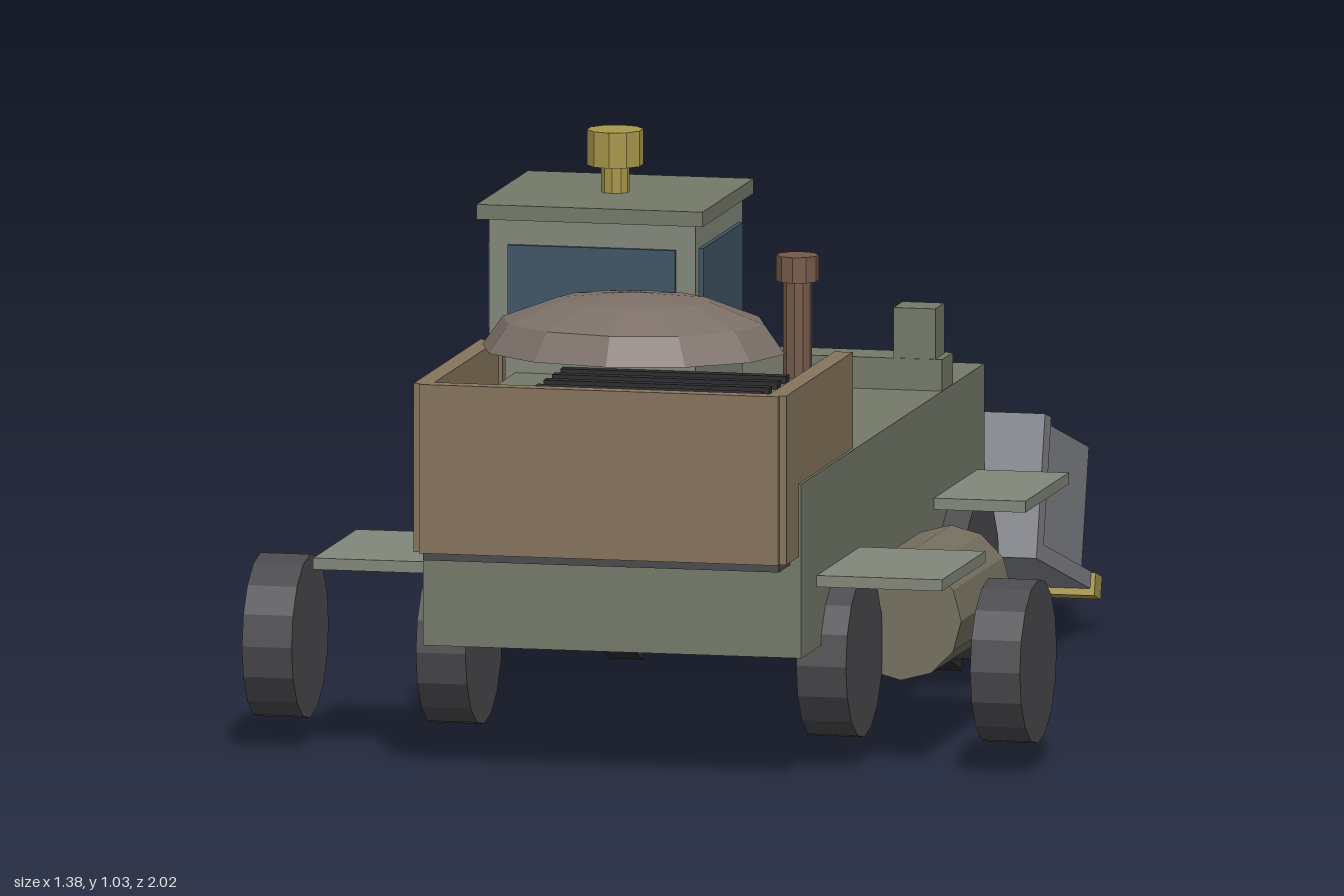
import * as THREE from 'three';

const mat = (color) => new THREE.MeshStandardMaterial({ color, flatShading: true });

export function createModel() {
  const model = new THREE.Group();
  model.name = 'loaderTruck';

  const green = mat(0x747969);
  const cabGreen = mat(0x82877a);
  const brown = mat(0x86745c);
  const glass = mat(0x3f5565);
  const rubber = mat(0x4a4a4d);
  const dark = mat(0x2c2c2e);
  const steel = mat(0x85868c);
  const yellow = mat(0xa8964a);
  const rust = mat(0x76594a);
  const tankTone = mat(0x75705f);
  const dirt = mat(0x7c7068);

  function add(name, geometry, material, parent = model) {
    const mesh = new THREE.Mesh(geometry, material);
    mesh.name = name;
    parent.add(mesh);
    return mesh;
  }

  // Box given by its extents along each axis
  function box(name, material, [x0, x1], [y0, y1], [z0, z1], parent = model) {
    const mesh = add(name, new THREE.BoxGeometry(x1 - x0, y1 - y0, z1 - z0), material, parent);
    mesh.position.set((x0 + x1) / 2, (y0 + y1) / 2, (z0 + z1) / 2);
    return mesh;
  }

  // Upright cylinder standing on y0
  function post(name, material, r, x, y0, y1, z, sides) {
    const mesh = add(name, new THREE.CylinderGeometry(r, r, y1 - y0, sides), material);
    mesh.position.set(x, (y0 + y1) / 2, z);
    return mesh;
  }

  // Low faceted heap with a flat underside
  const heapProfile = [[0, 0], [1, 0], [0.866, 0.5], [0.5, 0.866], [0, 1]]
    .map(([x, y]) => new THREE.Vector2(x, y));
  function heap(name, size, position, parent = model) {
    const geometry = new THREE.LatheGeometry(heapProfile, 12);
    geometry.scale(...size);
    add(name, geometry, dirt, parent).position.set(...position);
  }

  // Chassis and engine hood with vent slats
  box('chassis', green, [-0.335, 0.335], [0.228, 0.532], [-0.52, 0.895]);
  box('engineHood', green, [-0.285, 0.285], [0.53, 0.632], [0.32, 0.77]);
  for (let i = 0; i < 5; i++) {
    const z = 0.41 + i * 0.066;
    box('hoodVent', dark, [-0.2, 0.2], [0.63, 0.645], [z - 0.012, z + 0.012]);
  }

  // Front cargo box
  box('cargoFloor', rubber, [-0.315, 0.315], [0.39, 0.41], [0.48, 0.98]);
  box('cargoFrontWall', brown, [-0.318, 0.318], [0.405, 0.7], [0.97, 1]);
  for (const s of [-1, 1]) {
    const wall = box('cargoSideWall', brown, [0.297, 0.33], [0.405, 0.7], [0.474, 0.988]);
    wall.position.x *= s;
    const corner = box('cargoCornerPost', brown, [0.29, 0.322], [0.53, 0.69], [0.455, 0.478]);
    corner.position.x *= s;
  }
  heap('cargoDirt', [0.268, 0.1, 0.215], [0, 0.732, 0.728]);

  // Cab, roof and windows
  box('cab', cabGreen, [-0.332, 0.034], [0.585, 0.902], [0.037, 0.4]);
  box('cabRoof', green, [-0.35, 0.05], [0.9, 0.926], [0.02, 0.415]);
  for (const z of [0.034, 0.403]) {
    box('cabWindow', glass, [-0.297, 0], [0.705, 0.856], [z - 0.005, z + 0.005]);
  }
  for (const x of [-0.335, 0.037]) {
    box('cabSideWindow', glass, [x - 0.005, x + 0.005], [0.705, 0.856], [0.066, 0.372]);
  }

  // Beacon and exhaust
  post('beaconStem', yellow, 0.025, -0.15, 0.92, 0.98, 0.217, 10);
  post('beaconLamp', yellow, 0.049, -0.15, 0.973, 1.035, 0.217, 10);
  post('exhaustPipe', rust, 0.025, 0.2, 0.53, 0.81, 0.335, 10);
  post('exhaustCap', rust, 0.037, 0.2, 0.8, 0.845, 0.335, 10);

  // Rear crossbar with two brackets
  box('rearCrossbar', green, [-0.334, 0.334], [0.53, 0.587], [-0.28, -0.195]);
  for (const x of [-0.285, 0.285]) {
    box('rearBracket', green, [x - 0.037, x + 0.037], [0.58, 0.675], [-0.267, -0.197]);
  }

  // Wheels, fenders and loader arms, mirrored
  for (const s of [-1, 1]) {
    for (const [name, x, z] of [['frontOuterWheel', 0.645, 0.607], ['frontInnerWheel', 0.337, 0.607],
      ['rearWheel', 0.337, -0.292]]) {
      const wheel = add(name, new THREE.CylinderGeometry(0.143, 0.143, 0.088, 16), rubber);
      wheel.rotation.z = Math.PI / 2;
      wheel.position.set(s * x, 0.192, z);
    }
    const front = box('frontFender', cabGreen, [0.32, 0.557], [0.335, 0.355], [0.44, 0.775]);
    front.position.x *= s;
    const rear = box('rearFender', cabGreen, [0.32, 0.497], [0.335, 0.355], [-0.465, -0.13]);
    rear.position.x *= s;

    const arm = new THREE.Group();
    arm.name = 'loaderArm';
    arm.position.set(s * 0.282, 0.042, -0.461);
    arm.rotation.x = -0.34;
    box('armBeam', dark, [-0.029, 0.029], [-0.039, 0.039], [0, 0.72], arm);
    model.add(arm);
  }

  // Side tank and step rungs
  const tank = add('sideTank', new THREE.CylinderGeometry(0.107, 0.107, 0.385, 12), tankTone);
  tank.rotation.x = Math.PI / 2;
  tank.position.set(0.414, 0.236, 0.277);
  for (const y of [0.114, 0.207, 0.3]) {
    box('stepRung', steel, [-0.5, -0.394], [y - 0.006, y + 0.006], [0.167, 0.194]);
  }

  // Tilted rear bucket: local origin at its lower edge beside the chassis
  const bucket = new THREE.Group();
  bucket.name = 'bucket';
  bucket.position.set(0, 0.2, -0.485);
  bucket.rotation.x = -0.27;
  model.add(bucket);
  box('bucketFloor', steel, [-0.435, 0.435], [0, 0.03], [-0.46, 0], bucket);
  box('bucketBackWall', steel, [-0.435, 0.435], [0, 0.252], [-0.05, 0], bucket);
  for (const x of [-0.384, 0.384]) {
    box('bucketSide', steel, [x - 0.022, x + 0.022], [0.02, 0.252], [-0.482, -0.045], bucket);
  }
  box('bucketLip', yellow, [-0.443, 0.443], [-0.012, 0.028], [-0.482, -0.43], bucket);
  heap('bucketDirt', [0.3, 0.09, 0.16], [0, 0.05, -0.257], bucket);

  return model;
}
